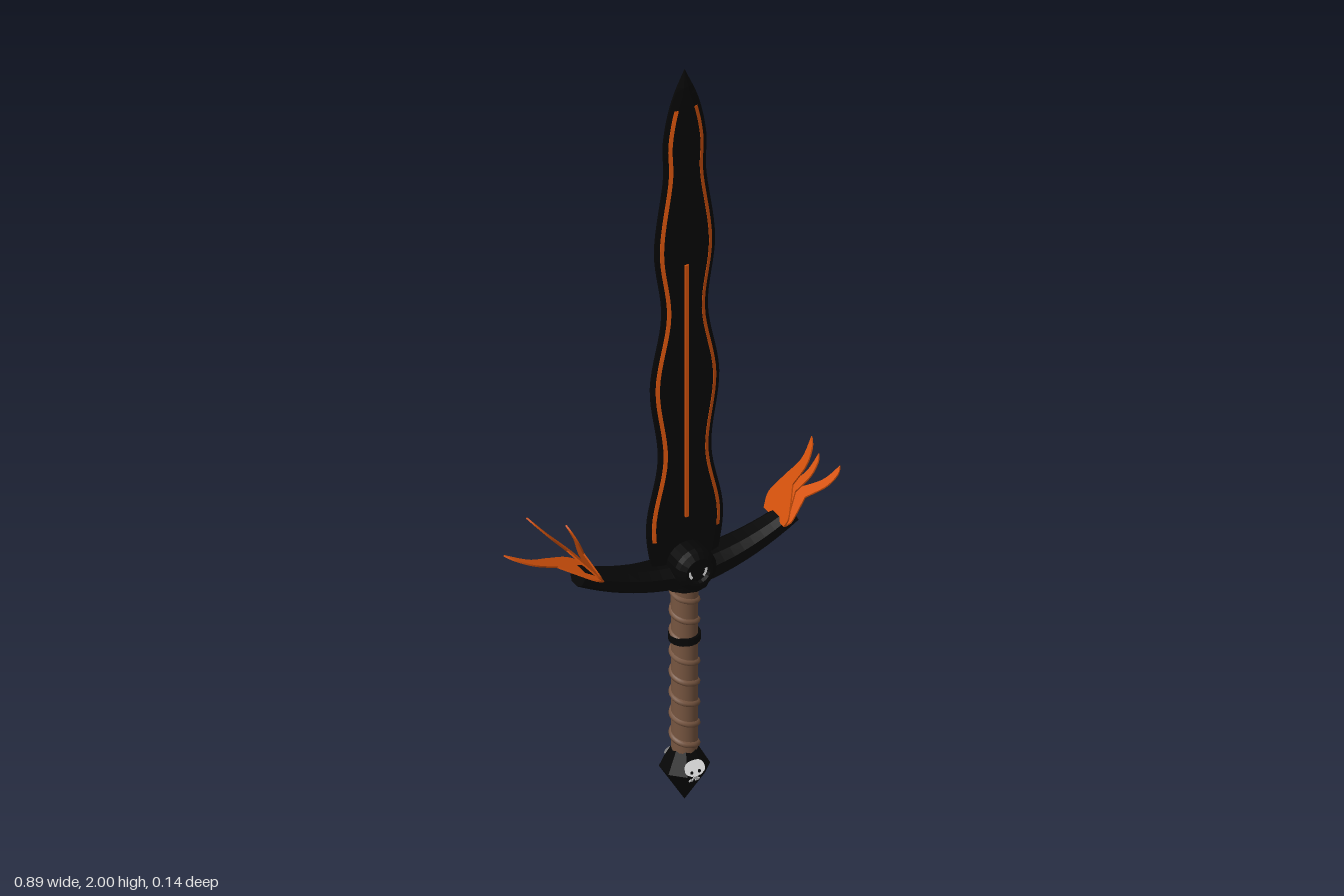
import * as THREE from 'three';

const mat = (name, color, side = THREE.FrontSide) => {
  const m = new THREE.MeshStandardMaterial({ color, side });
  m.name = name;
  return m;
};
const black = mat('black steel', 0x060606);
const orange = mat('ember orange', 0xd4520c, THREE.DoubleSide);
const leather = mat('brown leather', 0x765540);
const white = mat('bone white', 0xe6e6e6, THREE.DoubleSide);

const V = (x, y, z) => new THREE.Vector3(x, y, z);
const V2 = ([x, y]) => new THREE.Vector2(x, y);

// Flat-shaded skin over a row of rings, closed with a fan at each end
function loft(rings) {
  const pos = [];
  const tri = (...pts) => pts.forEach((p) => pos.push(p.x, p.y, p.z));
  const n = rings[0].length;
  for (let r = 0; r < rings.length - 1; r++) {
    const a = rings[r], b = rings[r + 1];
    for (let i = 0; i < n; i++) {
      const j = (i + 1) % n;
      tri(a[i], a[j], b[j]);
      tri(a[i], b[j], b[i]);
    }
  }
  const first = rings[0], last = rings[rings.length - 1];
  for (let i = 1; i < n - 1; i++) {
    tri(first[0], first[i + 1], first[i]);
    tri(last[0], last[i], last[i + 1]);
  }
  const g = new THREE.BufferGeometry();
  g.setAttribute('position', new THREE.Float32BufferAttribute(pos, 3));
  g.computeVertexNormals();
  return g;
}

// Wavy blade: half width along the height
const edge = new THREE.CatmullRomCurve3([
  [0.08, 0.62], [0.1, 0.77], [0.069, 0.95], [0.09, 1.15], [0.06, 1.34], [0.079, 1.52],
  [0.055, 1.72], [0.056, 1.81], [0.037, 1.91], [0.001, 2],
].map(([x, y]) => V(x, y, 0)));
const edgePoints = edge.getPoints(72);
const THICK = 0.009, RIM = 0.003, BEVEL = 0.02;

function bladeGeometry() {
  return loft(edgePoints.map(({ x: w, y }) => {
    const k = Math.max(w - BEVEL, w * 0.3), f = Math.min(1, w / 0.02);
    const t = THICK * f, e = RIM * f;
    return [V(-k, y, t), V(k, y, t), V(w, y, e), V(w, y, -e),
      V(k, y, -t), V(-k, y, -t), V(-w, y, -e), V(-w, y, e)];
  }));
}

// Inlay lying on the bevels of one edge, slightly proud on both faces
function inlayGeometry(s) {
  return loft(edgePoints.filter((p) => p.y > 0.73 && p.y < 1.91).map(({ x: w, y }) => {
    const height = (inset) => RIM + (THICK - RIM) * Math.min(1, inset / BEVEL) + 0.0018;
    const inner = { x: s * (w - 0.0195), z: height(0.0195) };
    const outer = { x: s * (w - 0.0105), z: height(0.0105) };
    const [a, b] = s > 0 ? [inner, outer] : [outer, inner];
    return [V(a.x, y, a.z), V(b.x, y, b.z), V(b.x, y, -b.z), V(a.x, y, -a.z)];
  }));
}

// Upswept crossguard with an eight-sided section
function guardGeometry() {
  const rings = [];
  const section = [[1, -0.5], [1, 0.5], [0.5, 1], [-0.5, 1], [-1, 0.5], [-1, -0.5], [-0.5, -1], [0.5, -1]];
  for (let i = 0; i <= 20; i++) {
    const u = i / 10 - 1, t = Math.abs(u);
    const x = u * 0.28, y = 0.63 + 0.07 * u * u;
    const angle = Math.atan(0.5 * u);
    const hy = 0.033 - 0.012 * t, hz = 0.053 - 0.025 * t;
    rings.push(section.map(([a, b]) =>
      V(x - Math.sin(angle) * a * hy, y + Math.cos(angle) * a * hy, b * hz)));
  }
  return loft(rings);
}

// Round boss with a raised, chamfered rim on the front and back
function bossGeometry() {
  const half = [[0, 0.062], [0.027, 0.062], [0.029, 0.072], [0.036, 0.072], [0.05, 0.062], [0.053, 0.048]];
  const back = half.map(([r, z]) => [r, -z]);
  const profile = [...back, ...half.reverse()].map(V2);
  const g = new THREE.LatheGeometry(profile, 20).toNonIndexed();
  g.computeVertexNormals();
  return g.rotateX(Math.PI / 2);
}

// Thin flame tongue, its width along z, running from a base point to a tip
function flameGeometry(from, to, width) {
  const dir = to.clone().sub(from);
  const len = dir.length();
  dir.normalize();
  const p = (u, z) => new THREE.Vector2(u * len, z * width);
  const shape = new THREE.Shape();
  shape.moveTo(0, -0.05 * width);
  shape.splineThru([p(0.18, -0.056), p(0.44, -0.027), p(0.73, 0.008), p(1, 0.01)]);
  shape.splineThru([p(0.9, 0.028), p(0.7, 0.033), p(0.43, 0.014)]);
  shape.splineThru([p(0.26, 0.033), p(0.1, 0.048), p(0, 0.044)]);
  const g = new THREE.ExtrudeGeometry(shape, { depth: 0.004, bevelEnabled: false, curveSegments: 10 });
  g.translate(0, 0, -0.002);
  const zAxis = V(0, 0, 1);
  const m = new THREE.Matrix4().makeBasis(dir, zAxis, dir.clone().cross(zAxis));
  return g.applyMatrix4(m.setPosition(from));
}

// Grip wrap: a helix around the y axis
class Helix extends THREE.Curve {
  constructor(radius, y0, y1, turns) {
    super();
    Object.assign(this, { radius, y0, y1, turns });
  }
  getPoint(t, target = V(0, 0, 0)) {
    const a = t * this.turns * Math.PI * 2;
    return target.set(Math.cos(a) * this.radius, this.y0 + (this.y1 - this.y0) * t, Math.sin(a) * this.radius);
  }
}

// Pale emblem: a broad crown with two openings, a narrow neck and a split foot
function emblem() {
  const g = new THREE.Group();
  g.name = 'pommelEmblem';
  const crown = new THREE.Shape();
  crown.moveTo(-0.012, 0);
  crown.lineTo(0.012, 0);
  crown.splineThru([[0.025, 0.01], [0.024, 0.027], [0.012, 0.036], [-0.012, 0.036], [-0.024, 0.027],
    [-0.025, 0.01], [-0.012, 0]].map(V2));
  for (const s of [-1, 1]) {
    const hole = new THREE.Path();
    hole.absarc(s * 0.01, 0.009, 0.004, 0, Math.PI * 2, true);
    crown.holes.push(hole);
  }
  const top = new THREE.Mesh(new THREE.ShapeGeometry(crown, 8), white);
  top.name = 'emblemCrown';
  top.position.set(0, 0.095, 0.0565);
  top.rotation.x = -Math.atan2(0.028, 0.055);
  g.add(top);
  const plate = (name, w, h, x, y) => {
    const m = new THREE.Mesh(new THREE.BoxGeometry(w, h, 0.002), white);
    m.name = name;
    m.position.set(x, y, 0.055 * y / 0.095 + 0.001);
    m.rotation.x = Math.atan2(0.055, 0.095);
    g.add(m);
  };
  plate('emblemNeck', 0.012, 0.014, 0, 0.088);
  for (const s of [-1, 1]) plate('emblemFoot', 0.01, 0.009, s * 0.008, 0.078);
  return g;
}

export function createModel() {
  const model = new THREE.Group();
  model.name = 'flameSword';
  const sword = new THREE.Group();
  sword.name = 'sword';
  sword.position.x = 0.037;
  model.add(sword);
  const add = (name, geometry, material, x = 0, y = 0, z = 0) => {
    const m = new THREE.Mesh(geometry, material);
    m.name = name;
    m.position.set(x, y, z);
    sword.add(m);
    return m;
  };

  // Blade and glowing inlays
  add('blade', bladeGeometry(), black);
  add('leftEdgeInlay', inlayGeometry(1), orange);
  add('rightEdgeInlay', inlayGeometry(-1), orange);
  add('centreInlay', new THREE.BoxGeometry(0.009, 0.69, 0.026), orange, 0, 1.125, 0);

  // Crossguard with round boss
  add('guard', guardGeometry(), black);
  add('guardCollar', new THREE.CylinderGeometry(0.064, 0.058, 0.04, 12), black, 0, 0.62, 0);
  add('guardBoss', bossGeometry(), black, 0, 0.66, 0);
  for (const f of [1, -1]) {
    for (const a of [-0.35, Math.PI + 0.35]) {
      add('bossMark', new THREE.RingGeometry(0.018, 0.025, 8, 1, a - 0.5, 1), white, 0, 0.66, f * 0.0635);
    }
  }

  // Flame tongues at both ends of the guard
  const tongues = {
    rightFlame: [-0.237, [[-0.482, 0.825, 1], [-0.422, 0.91, 1], [-0.317, 0.855, 0.8]]],
    leftFlame: [0.238, [[0.405, 0.79, 1], [0.33, 0.895, 1], [0.35, 0.84, 0.8]]],
  };
  for (const [name, [x, tips]] of Object.entries(tongues)) {
    for (const [tx, ty, w] of tips) {
      add(name, flameGeometry(V(x, 0.695, 0), V(tx, ty, 0), w), orange);
    }
  }

  // Wrapped grip
  add('grip', new THREE.CylinderGeometry(0.032, 0.031, 0.47, 20), leather, 0, 0.375, 0);
  add('gripWrap', new THREE.TubeGeometry(new Helix(0.029, 0.15, 0.6, 8), 240, 0.008, 8), leather);
  add('gripRing', new THREE.CylinderGeometry(0.038, 0.038, 0.018, 20), black, 0, 0.45, 0);

  // Faceted pommel, one flat facing the front
  const profile = [[0, 0], [0.0595, 0.095], [0.029, 0.15], [0, 0.15]].map(V2);
  const pommel = new THREE.LatheGeometry(profile, 8, Math.PI / 8).toNonIndexed();
  pommel.computeVertexNormals();
  add('pommel', pommel, black);
  for (const turn of [0, Math.PI]) {
    const e = emblem();
    e.rotation.y = turn;
    sword.add(e);
  }
  return model;
}
